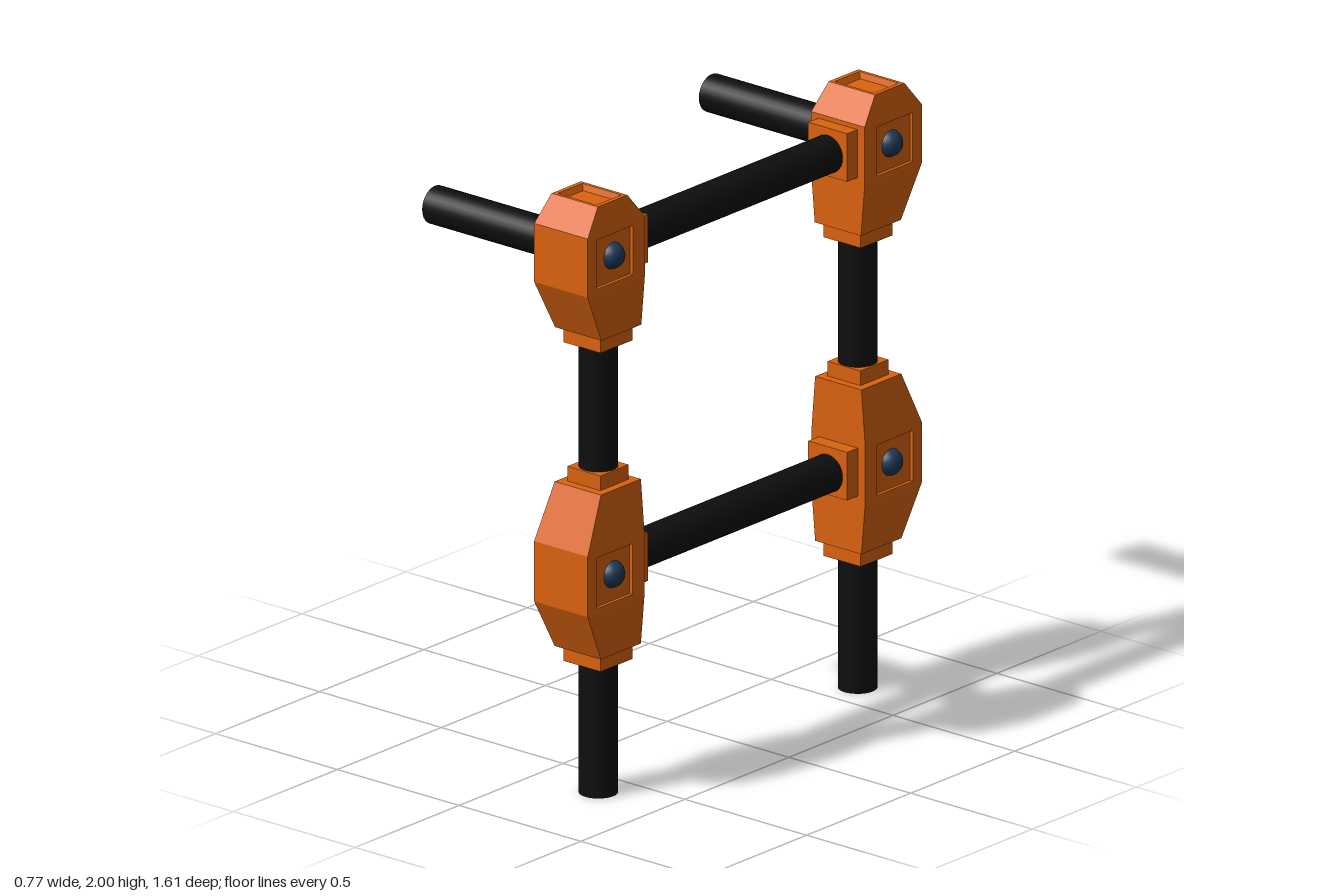
import * as THREE from 'three';

const orange = new THREE.MeshStandardMaterial({ color: 0xdb630f });
orange.name = 'orangePlastic';
const black = new THREE.MeshStandardMaterial({ color: 0x0e0e0e });
black.name = 'blackTube';
const navy = new THREE.MeshStandardMaterial({ color: 0x1d3856 });
navy.name = 'navyBolt';

const CX = 0.25;      // plane of the frame
const TUBE_R = 0.062;

// Flat-shaded connector body lofted from rectangular levels [y, halfWidth, zInner, zOuter]
function bodyGeometry(levels, recessLevel, topRecess) {
  const pos = [];
  const quad = (a, b, c, d) => {
    for (const p of [a, b, c, a, c, d]) pos.push(p.x, p.y, p.z);
  };
  // Quad with a shallow pocket: rim, walls and floor
  const pocket = (q, u0, u1, v0, v1, depth, slope) => {
    const at = (u, v) => q[0].clone().lerp(q[1], u).lerp(q[3].clone().lerp(q[2], u), v);
    const n = q[1].clone().sub(q[0]).cross(q[3].clone().sub(q[0])).normalize();
    const rim = [at(u0, v0), at(u1, v0), at(u1, v1), at(u0, v1)];
    const s = slope;
    const floor = [at(u0 + s, v0 + s), at(u1 - s, v0 + s), at(u1 - s, v1 - s), at(u0 + s, v1 - s)]
      .map((p) => p.addScaledVector(n, -depth));
    for (let i = 0; i < 4; i++) {
      const j = (i + 1) % 4;
      quad(q[i], q[j], rim[j], rim[i]);
      quad(rim[i], rim[j], floor[j], floor[i]);
    }
    quad(...floor);
  };
  const rings = levels.map(([y, w, z0, z1]) => [
    new THREE.Vector3(-w, y, z0), new THREE.Vector3(-w, y, z1),
    new THREE.Vector3(w, y, z1), new THREE.Vector3(w, y, z0),
  ]);
  for (let k = 0; k < rings.length - 1; k++) {
    for (let i = 0; i < 4; i++) {
      const j = (i + 1) % 4;
      const q = [rings[k][i], rings[k][j], rings[k + 1][j], rings[k + 1][i]];
      if (k === recessLevel && i === 0) pocket(q, 0.21, 0.84, 0.08, 0.92, 0.012, 0);
      else if (k === recessLevel && i === 2) pocket(q, 0.16, 0.79, 0.08, 0.92, 0.012, 0);
      else quad(...q);
    }
  }
  const top = rings[rings.length - 1];
  if (topRecess) pocket(top, 0.08, 0.92, 0.08, 0.92, 0.02, 0.05);
  else quad(...top);
  quad(...[...rings[0]].reverse());
  const geo = new THREE.BufferGeometry();
  geo.setAttribute('position', new THREE.Float32BufferAttribute(pos, 3));
  geo.computeVertexNormals();
  return geo;
}

const upperBody = bodyGeometry([
  [1.55, 0.095, 0.528, 0.72], [1.72, 0.11, 0.528, 0.803],
  [1.915, 0.11, 0.528, 0.803], [2.0, 0.095, 0.595, 0.737],
], 1, true);
const lowerBody = bodyGeometry([
  [0.49, 0.095, 0.53, 0.722], [0.657, 0.11, 0.53, 0.803],
  [0.858, 0.11, 0.53, 0.803], [1.037, 0.095, 0.53, 0.722],
], 1, false);

function add(parent, name, geometry, material, x, y, z) {
  const mesh = new THREE.Mesh(geometry, material);
  mesh.name = name;
  mesh.position.set(x, y, z);
  parent.add(mesh);
  return mesh;
}

// Round tube between two points along one axis
function tube(parent, name, from, to) {
  const a = new THREE.Vector3(...from), b = new THREE.Vector3(...to);
  const mid = a.clone().add(b).multiplyScalar(0.5);
  const geo = new THREE.CylinderGeometry(TUBE_R, TUBE_R, a.distanceTo(b), 28);
  const mesh = add(parent, name, geo, black, mid.x, mid.y, mid.z);
  mesh.quaternion.setFromUnitVectors(new THREE.Vector3(0, 1, 0), b.sub(a).normalize());
}

// Connector with its collars; side is +1 at the front, -1 at the back
function connector(name, body, side, railY, collars) {
  const g = new THREE.Group();
  g.name = name;
  g.position.x = CX;
  if (side < 0) g.rotation.y = Math.PI;
  add(g, 'connectorBody', body, orange, 0, 0, 0);
  for (const [y, width] of collars) {
    add(g, 'postCollar', new THREE.BoxGeometry(width, 0.052, width), orange, 0, y, 0.625);
  }
  add(g, 'railCollar', new THREE.BoxGeometry(0.16, 0.16, 0.054), orange, 0, railY, 0.506);
  return g;
}

export function createModel() {
  const model = new THREE.Group();
  model.name = 'tubeFrame';
  const boltGeo = new THREE.SphereGeometry(0.045, 20, 14);

  for (const side of [1, -1]) {
    const end = side > 0 ? 'front' : 'back';
    model.add(connector(end + 'UpperConnector', upperBody, side, 1.82, [[1.525, 0.152]]));
    model.add(connector(end + 'LowerConnector', lowerBody, side, 0.76, [[0.465, 0.152], [1.06, 0.135]]));

    // Posts and the peg that points sideways
    const z = side * 0.623;
    tube(model, end + 'LowerPost', [CX, 0, z], [CX, 0.48, z]);
    tube(model, end + 'UpperPost', [CX, 1.05, z], [CX, 1.53, z]);
    tube(model, end + 'Peg', [-0.385, 1.814, side * 0.665], [0.2, 1.814, side * 0.665]);

    // Bolts: outer side on top, both sides below
    add(model, end + 'UpperBolt', boltGeo, navy, CX + 0.09, 1.82, side * 0.668);
    for (const s of [1, -1]) {
      add(model, end + 'LowerBolt', boltGeo, navy, CX + s * 0.09, 0.76, side * 0.668);
    }
  }

  // Horizontal rails
  tube(model, 'upperRail', [CX, 1.814, -0.5], [CX, 1.814, 0.5]);
  tube(model, 'lowerRail', [CX, 0.752, -0.5], [CX, 0.752, 0.5]);
  return model;
}
